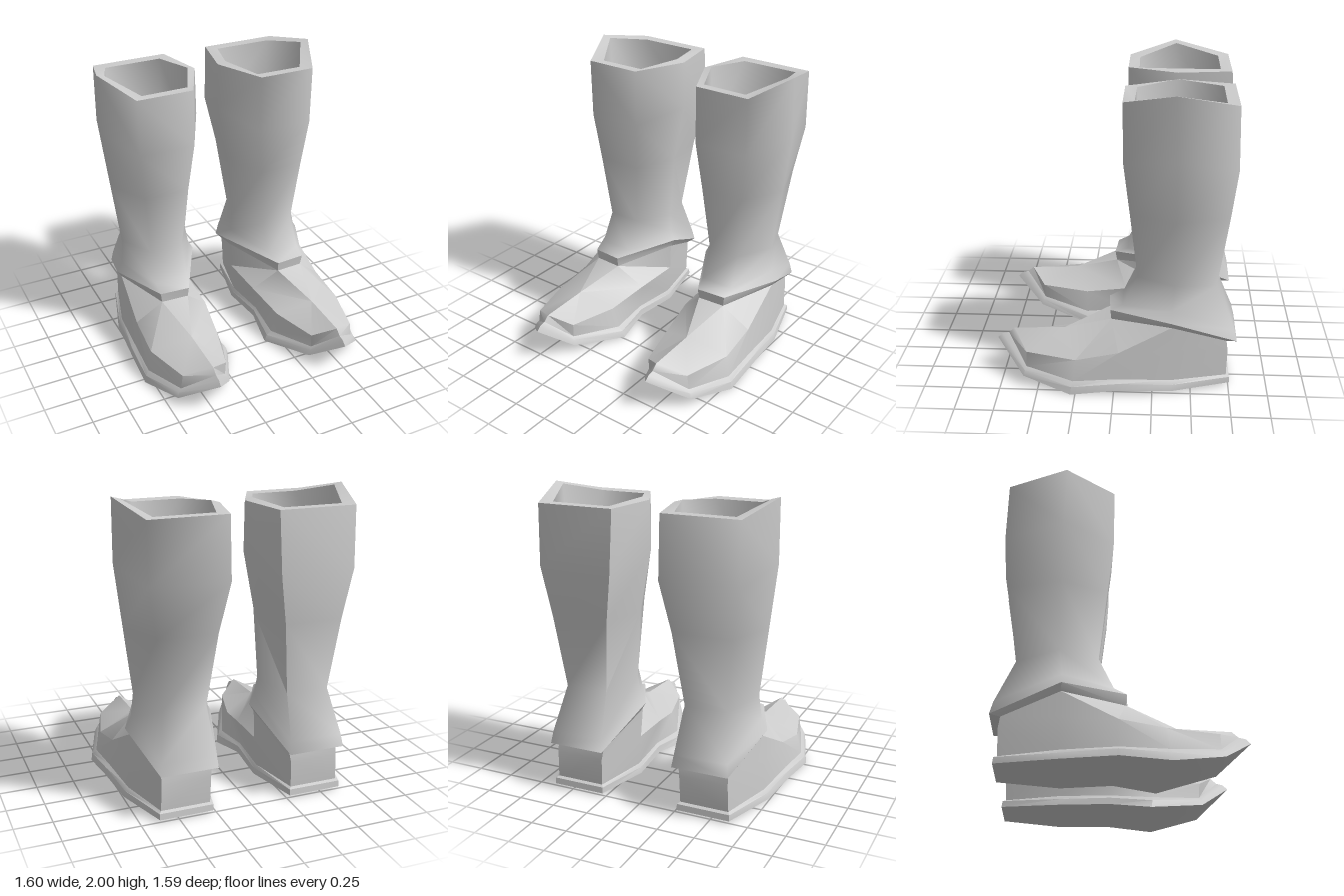
import * as THREE from 'three';
import { toCreasedNormals } from 'three/addons/utils/BufferGeometryUtils.js';

const leather = new THREE.MeshStandardMaterial({ color: 0xcccccc });
leather.name = 'grey leather';

// Collects faces for one part; side = -1 mirrors it across x and flips the winding
function part(name, side, crease, build) {
  const pos = [];
  const tri = (a, b, c) => {
    const same = (p, q) => p.every((v, k) => v === q[k]);
    if (same(a, b) || same(b, c) || same(a, c)) return;
    for (const p of side > 0 ? [a, b, c] : [a, c, b]) pos.push(p[0] * side, p[1], p[2]);
  };
  const quad = (a, b, c, d) => { tri(a, b, c); tri(a, c, d); };
  // Skins consecutive rings, each running counterclockwise seen from above
  const loft = (rings) => {
    for (let r = 0; r + 1 < rings.length; r++) {
      const lo = rings[r], hi = rings[r + 1], n = lo.length;
      for (let i = 0; i < n; i++) {
        const j = (i + 1) % n;
        quad(lo[i], lo[j], hi[j], hi[i]);
      }
    }
  };
  build({ tri, quad, loft });
  const geo = new THREE.BufferGeometry();
  geo.setAttribute('position', new THREE.Float32BufferAttribute(pos, 3));
  const mesh = new THREE.Mesh(toCreasedNormals(geo, crease), leather);
  mesh.name = name;
  return mesh;
}

// Hexagon rings: front outer, outer, back outer, back inner, inner, front inner
const cuffUnder = [[.55, .43, .025], [.70, .455, -.37], [.61, .32, -.73],
  [.27, .32, -.73], [.175, .48, -.37], [.36, .43, .035]];
const cuffEdge = [[.56, .5, .03], [.73, .5, -.37], [.63, .33, -.795],
  [.25, .33, -.795], [.14, .54, -.37], [.355, .5, .045]];
const shaftRings = [
  cuffEdge,
  [[.56, .54, -.05], [.69, .57, -.37], [.62, .41, -.775], [.26, .41, -.775], [.175, .61, -.37], [.33, .54, -.05]],
  [[.55, .74, -.145], [.675, .74, -.385], [.57, .7, -.655], [.28, .7, -.655], [.19, .73, -.385], [.32, .74, -.145]],
  [[.59, 1.19, -.095], [.73, 1.19, -.385], [.62, 1.19, -.72], [.225, 1.19, -.725], [.16, 1.19, -.385], [.28, 1.19, -.095]],
  [[.625, 1.53, -.055], [.78, 1.6, -.385], [.675, 1.52, -.755], [.165, 1.52, -.78], [.08, 1.6, -.385], [.245, 1.53, -.055]],
  [[.63, 1.92, -.05], [.775, 2, -.37], [.675, 1.92, -.745], [.16, 1.92, -.745], [.085, 1.925, -.385], [.245, 1.92, -.05]],
];
const rimInner = [[.57, 1.915, -.12], [.72, 1.985, -.375], [.615, 1.92, -.67],
  [.22, 1.92, -.67], [.14, 1.94, -.38], [.255, 1.915, -.125]];

// Foot rings: toe tip, five points back along the outer side, five forward along the inner side
const soleBottom = [[.47, .225, .795],
  [.69, .065, .6], [.8, 0, .28], [.785, .03, -.03], [.75, .015, -.37], [.63, .02, -.76],
  [.27, .02, -.76], [.18, .015, -.37], [.2, .03, -.04], [.15, 0, .235], [.31, .065, .595]];
const soleTop = [[.47, .255, .765],
  [.68, .1, .59], [.79, .05, .275], [.775, .075, -.03], [.74, .055, -.37], [.63, .06, -.755],
  [.27, .06, -.755], [.185, .055, -.37], [.205, .075, -.04], [.165, .05, .24], [.32, .1, .585]];
const seam = [[.47, .265, .72],
  [.66, .12, .58], [.765, .08, .265], [.75, .095, -.03], [.72, .08, -.37], [.615, .07, -.735],
  [.285, .07, -.735], [.2, .08, -.37], [.22, .095, -.04], [.195, .08, .245], [.335, .12, .575]];
const crease = [[.47, .3, .68],
  [.645, .22, .58], [.735, .22, .25], [.725, .275, -.03], [.71, .29, -.37], [.61, .25, -.74],
  [.28, .25, -.74], [.18, .29, -.37], [.195, .275, -.04], [.24, .22, .25], [.33, .22, .58]];

function createBoot(name, side) {
  const boot = new THREE.Group();
  boot.name = name;
  const add = (...args) => boot.add(part(...args));

  // Flat sole with an upturned toe, spanned by strips between the two sides
  add('sole', side, 0.5, ({ quad, loft }) => {
    loft([soleBottom, soleTop, seam]);
    for (let i = 0; i < 5; i++) {
      const l = (k) => soleBottom[(11 - k) % 11];
      quad(l(i), l(i + 1), soleBottom[i + 1], soleBottom[i]);
    }
  });

  // Side walls, then the vamp rising from the toe ridge to the cuff
  add('footUpper', side, 0.62, ({ tri, loft }) => {
    const ridge = [.47, .315, .34];
    const [d, c, b, a, f, e] = cuffUnder;
    loft([seam, crease, [ridge, ridge, ridge, d, c, b, a, f, e, ridge, ridge]]);
    tri(ridge, d, e);
  });

  add('cuffBand', side, 0.5, ({ loft }) => loft([cuffUnder, cuffEdge]));
  add('shaft', side, 1.35, ({ loft }) => loft(shaftRings));
  add('topRim', side, 0.5, ({ loft }) => loft([shaftRings.at(-1), rimInner]));

  // Inner lining narrowing down to a rounded floor
  add('lining', side, 1.5, ({ loft }) => {
    const inset = (ring, y, k) => ring.map(([x, , z]) => [.43 + (x - .43) * k, y, -.39 + (z + .39) * k]);
    const floor = rimInner.map(() => [.43, .7, -.39]);
    loft([rimInner, inset(rimInner, 1.5, .92), inset(rimInner, 1, .65), floor]);
  });
  return boot;
}

export function createModel() {
  const model = new THREE.Group();
  model.name = 'boots';
  model.add(createBoot('leftBoot', 1), createBoot('rightBoot', -1));
  return model;
}
